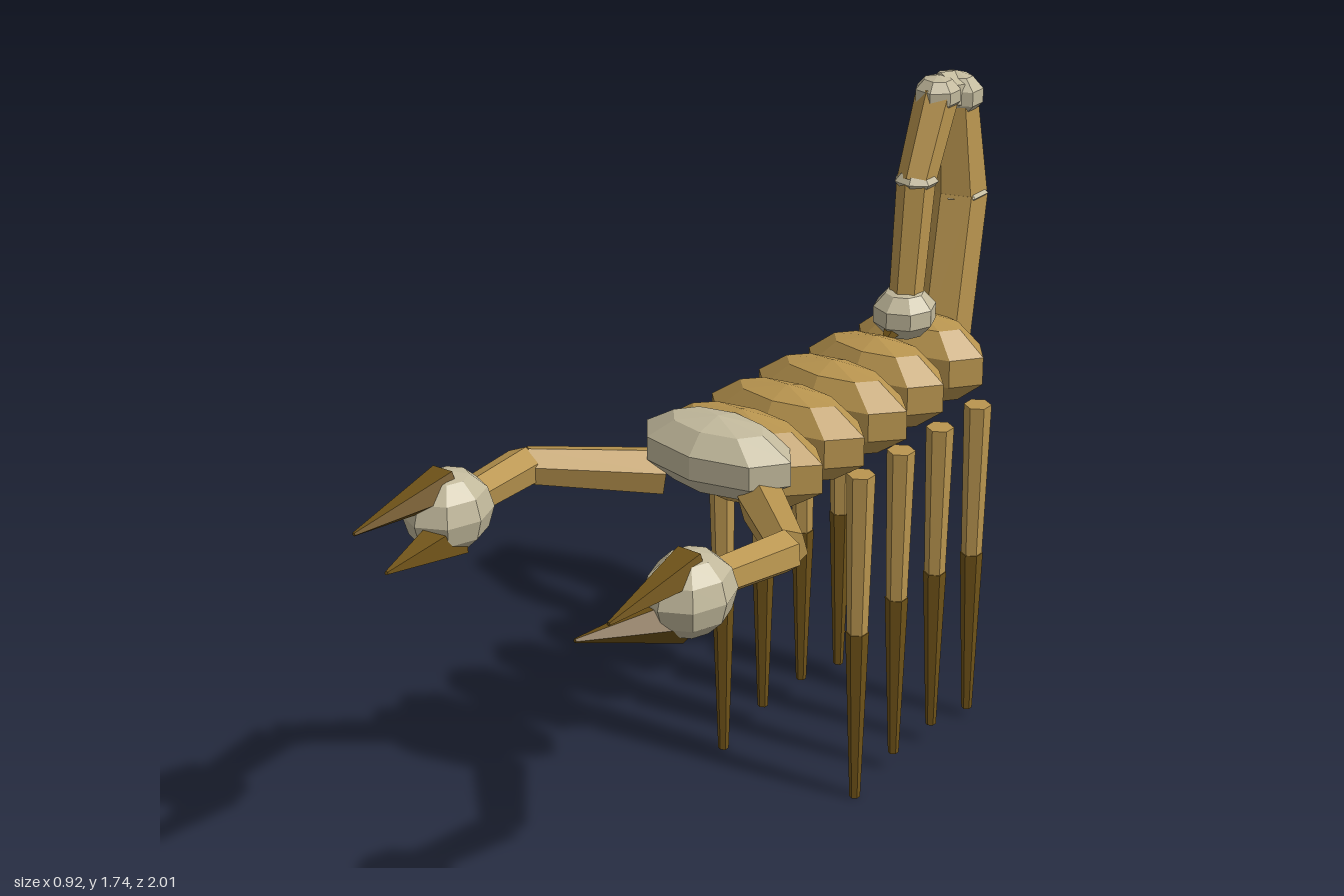
import * as THREE from 'three';

export function createModel() {
  const root = new THREE.Group();
  root.name = 'scorpion';
  const tan = new THREE.MeshStandardMaterial({ name: 'tan shell', color: 0xb9954f, flatShading: true });
  const dark = new THREE.MeshStandardMaterial({ name: 'dark brown tips', color: 0x6e5218, flatShading: true });
  const bone = new THREE.MeshStandardMaterial({ name: 'bone grey', color: 0xc2b99c, flatShading: true });
  const V = (p) => new THREE.Vector3(...p);

  // faceted ellipsoid
  function blob(name, mat, pos, radii, sides = 8, rows = 5, parent = root) {
    const mesh = new THREE.Mesh(new THREE.SphereGeometry(1, sides, rows).scale(...radii), mat);
    mesh.name = name;
    mesh.position.set(...pos);
    parent.add(mesh);
    return mesh;
  }

  // tapered prism from a to b
  function limb(name, mat, a, b, ra, rb, sides = 6, parent = root) {
    const from = V(a), to = V(b), dir = to.clone().sub(from);
    const mesh = new THREE.Mesh(new THREE.CylinderGeometry(rb, ra, dir.length(), sides), mat);
    mesh.name = name;
    mesh.position.copy(from).add(to).multiplyScalar(0.5);
    mesh.quaternion.setFromUnitVectors(new THREE.Vector3(0, 1, 0), dir.normalize());
    parent.add(mesh);
    return mesh;
  }

  // body segments, front to back
  [[0.02, 0.255], [-0.17, 0.245], [-0.365, 0.24], [-0.56, 0.22], [-0.77, 0.205]].forEach(([z, rx], i) =>
    blob('bodySegment' + (i + 1), tan, [0, 0.99, z], [rx, 0.122, 0.108]));

  // head plate
  blob('head', bone, [0, 1.03, 0.115], [0.228, 0.098, 0.122]);

  // legs and pincer arms on both sides
  for (const s of [1, -1]) {
    const side = new THREE.Group();
    side.name = s > 0 ? 'leftLimbs' : 'rightLimbs';
    root.add(side);

    [[-0.185, 0], [-0.362, 0.05], [-0.54, 0.055], [-0.718, 0.025]].forEach(([z, foot], i) => {
      const knee = 0.46 + foot * 0.5;
      limb('upperLeg' + (i + 1), tan, [s * 0.215, 0.92, z], [s * 0.211, knee, z], 0.036, 0.027, 6, side);
      limb('lowerLeg' + (i + 1), dark, [s * 0.211, knee + 0.02, z], [s * 0.212, foot, z], 0.03, 0.014, 6, side);
    });

    limb('upperArm', tan, [s * 0.15, 0.95, 0.14], [s * 0.39, 0.985, 0.37], 0.062, 0.05, 6, side);
    limb('foreArm', tan, [s * 0.392, 0.985, 0.38], [s * 0.358, 1.0, 0.63], 0.052, 0.046, 6, side);
    blob('claw', bone, [s * 0.357, 0.998, 0.695], [0.102, 0.102, 0.118], 8, 6, side);
    limb('upperFinger', dark, [s * 0.36, 1.065, 0.7], [s * 0.37, 1.05, 1], 0.052, 0.005, 5, side);
    limb('lowerFinger', dark, [s * 0.345, 0.94, 0.71], [s * 0.275, 0.98, 1], 0.062, 0.005, 5, side);
  }

  // tail rising from the last segment and curling forward
  limb('tailBase', tan, [0, 1.02, -0.865], [0, 1.4, -0.927], 0.08, 0.08);
  limb('tailUpper', tan, [0, 1.4, -0.927], [0, 1.67, -0.9], 0.078, 0.06);
  limb('tailTop', bone, [0, 1.675, -0.9], [0, 1.695, -0.82], 0.055, 0.05);
  limb('tailFront', tan, [0, 1.69, -0.82], [0, 1.48, -0.73], 0.056, 0.05);
  limb('tailEnd', tan, [0, 1.48, -0.73], [0, 1.17, -0.695], 0.05, 0.044);

  // tail joints
  blob('lowerTailJoint', bone, [0, 1.4, -0.927], [0.084, 0.03, 0.074], 7, 4);
  blob('rearTailJoint', bone, [0, 1.672, -0.902], [0.082, 0.06, 0.06], 7, 5);
  blob('topTailJoint', bone, [0, 1.69, -0.82], [0.064, 0.05, 0.06], 7, 5);
  blob('frontTailJoint', bone, [0, 1.485, -0.73], [0.06, 0.028, 0.054], 7, 4);

  // venom bulb and stinger
  blob('venomBulb', bone, [0, 1.135, -0.69], [0.086, 0.07, 0.088], 8, 5);
  limb('stinger', dark, [0, 1.12, -0.66], [0, 1.07, -0.585], 0.035, 0.004, 5);

  return root;
}
